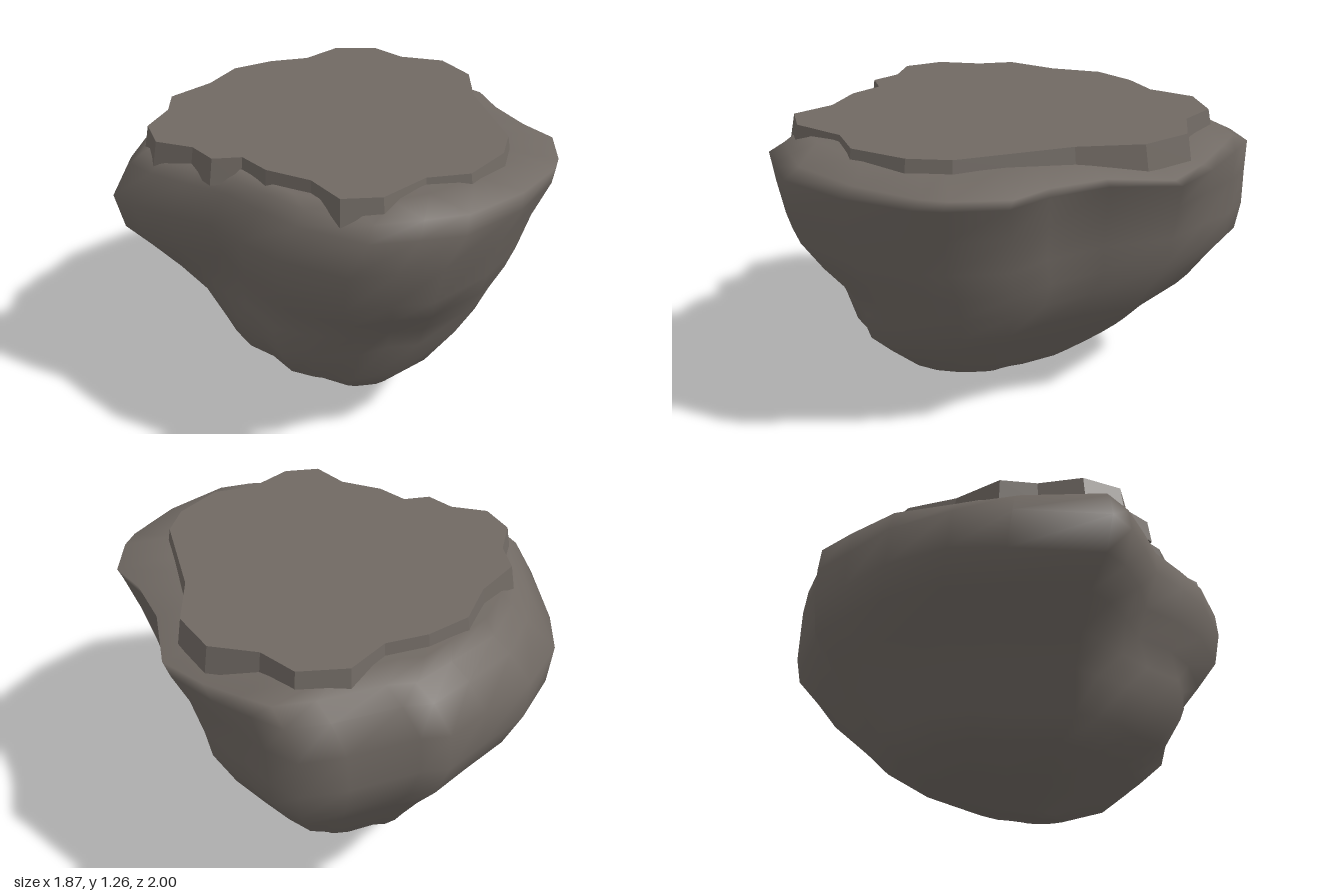
import * as THREE from 'three';

// Plan outline of the boulder (x, z), running from the back towards +x
const OUTLINE = [
  [-0.08, -1], [0.04, -0.98], [0.33, -1], [0.5, -0.98], [0.6, -0.86], [0.72, -0.69],
  [0.85, -0.48], [0.82, -0.17], [0.86, 0.1], [0.93, 0.29], [0.86, 0.53], [0.8, 0.63],
  [0.58, 0.84], [0.29, 1], [0.1, 1], [-0.1, 0.99], [-0.34, 0.79], [-0.46, 0.62],
  [-0.57, 0.45], [-0.72, 0.32], [-0.86, 0.19], [-0.94, 0.07], [-0.84, -0.33],
  [-0.75, -0.56], [-0.53, -0.77], [-0.27, -0.9],
];

// Height and extents of each cross-section: y, xMin, xMax, zMin, zMax
const LEVELS = [
  [0.025, -0.02, 0.18, -0.17, 0.22],
  [0.1, -0.16, 0.29, -0.4, 0.43],
  [0.2, -0.37, 0.4, -0.58, 0.56],
  [0.3, -0.47, 0.49, -0.67, 0.68],
  [0.46, -0.56, 0.65, -0.81, 0.75],
  [0.58, -0.67, 0.71, -0.89, 0.8],
  [0.7, -0.79, 0.77, -0.98, 0.87],
  [0.82, -0.9, 0.8, -1, 0.94],
  [0.98, -0.94, 0.85, -1, 0.97],
  [1.13, -0.86, 0.91, -0.98, 1],
  [1.175, -0.81, 0.93, -0.89, 0.94],
  [1.21, -0.74, 0.7, -0.79, 0.84],
];

// Local bulges and hollows: outline x, z, height, shift x, y, z, radius, height spread
const BUMPS = [
  [-0.5, 0.6, 0.45, -0.08, 0, 0.19, 0.3, 0.2], // lump low on the front left
  [-0.75, 0.3, 0.36, -0.05, 0, 0.06, 0.2, 0.15], // its tail on the left flank
  [0.15, 1, 0.47, 0, 0, -0.08, 0.3, 0.2], // hollow beside the lump
  [-0.57, 0.45, 0.8, 0.04, 0, -0.03, 0.15, 0.15], // valley above the lump
  [0.55, -0.92, 0.8, 0.07, 0, -0.01, 0.25, 0.25], // back corner
  [0.75, -0.55, 1.17, 0, -0.05, 0, 0.3, 0.1], // sunken rim at the back
  [-0.75, -0.56, 1.15, 0.04, -0.03, 0.04, 0.3, 0.1], // worn rim at the back right
  [0.35, 0.95, 1.21, 0, 0.03, 0, 0.3, 0.04], // raised rim at the front
];

// Jagged outline of the flat top slab (x, z)
const SLAB = [
  [0.23, -0.85], [0.43, -0.81], [0.52, -0.65], [0.7, -0.55], [0.76, -0.33], [0.69, -0.06],
  [0.67, 0.43], [0.59, 0.59], [0.4, 0.75], [0.22, 0.75], [0.02, 0.88], [-0.14, 0.86],
  [-0.21, 0.68], [-0.36, 0.55], [-0.43, 0.41], [-0.55, 0.4], [-0.61, 0.27], [-0.75, 0.18],
  [-0.77, 0], [-0.67, -0.17], [-0.64, -0.33], [-0.45, -0.47], [-0.31, -0.65],
  [-0.12, -0.72], [0.06, -0.73],
];

function boulderGeometry() {
  const n = OUTLINE.length;
  const positions = [];
  const index = [];
  for (const [y, x0, x1, z0, z1] of LEVELS) {
    for (const [ox, oz] of OUTLINE) {
      const p = new THREE.Vector3(
        x0 + ((ox + 0.94) / 1.87) * (x1 - x0),
        y,
        z0 + ((oz + 1) / 2) * (z1 - z0),
      );
      for (const [bx, bz, by, dx, dy, dz, radius, spread] of BUMPS) {
        const plan = ((ox - bx) ** 2 + (oz - bz) ** 2) / radius ** 2;
        const weight = Math.exp(-plan - ((y - by) / spread) ** 2);
        p.addScaledVector(new THREE.Vector3(dx, dy, dz), weight);
      }
      positions.push(p.x, p.y, p.z);
    }
  }
  // Bottom tip and the centre of the hidden top
  const tip = positions.length / 3;
  positions.push(0.04, 0, 0.06, 0, 1.21, 0);
  const last = (LEVELS.length - 1) * n;
  for (let i = 0; i < n; i++) {
    const j = (i + 1) % n;
    for (let r = 0; r < last; r += n) {
      index.push(r + i, r + n + i, r + j, r + j, r + n + i, r + n + j);
    }
    index.push(tip, i, j, tip + 1, last + j, last + i);
  }
  const geometry = new THREE.BufferGeometry();
  geometry.setAttribute('position', new THREE.Float32BufferAttribute(positions, 3));
  geometry.setIndex(index);
  geometry.computeVertexNormals();
  return geometry;
}

function slabGeometry() {
  const shape = new THREE.Shape(SLAB.map(([x, z]) => new THREE.Vector2(x, -z)));
  const geometry = new THREE.ExtrudeGeometry(shape, { depth: 0.11, bevelEnabled: false });
  geometry.rotateX(-Math.PI / 2);
  geometry.translate(0, 1.15, 0);
  // Flare the lower edge slightly
  const p = geometry.attributes.position;
  for (let i = 0; i < p.count; i++) {
    if (p.getY(i) < 1.2) {
      p.setX(i, p.getX(i) * 1.025);
      p.setZ(i, p.getZ(i) * 1.025);
    }
  }
  geometry.computeVertexNormals();
  return geometry;
}

export function createModel() {
  const group = new THREE.Group();
  group.name = 'boulder';
  const stone = new THREE.MeshStandardMaterial({ color: 0x706963 });
  stone.name = 'grey brown stone';

  const body = new THREE.Mesh(boulderGeometry(), stone);
  body.name = 'rockBody';
  const slab = new THREE.Mesh(slabGeometry(), stone);
  slab.name = 'flatTop';
  group.add(body, slab);
  return group;
}
